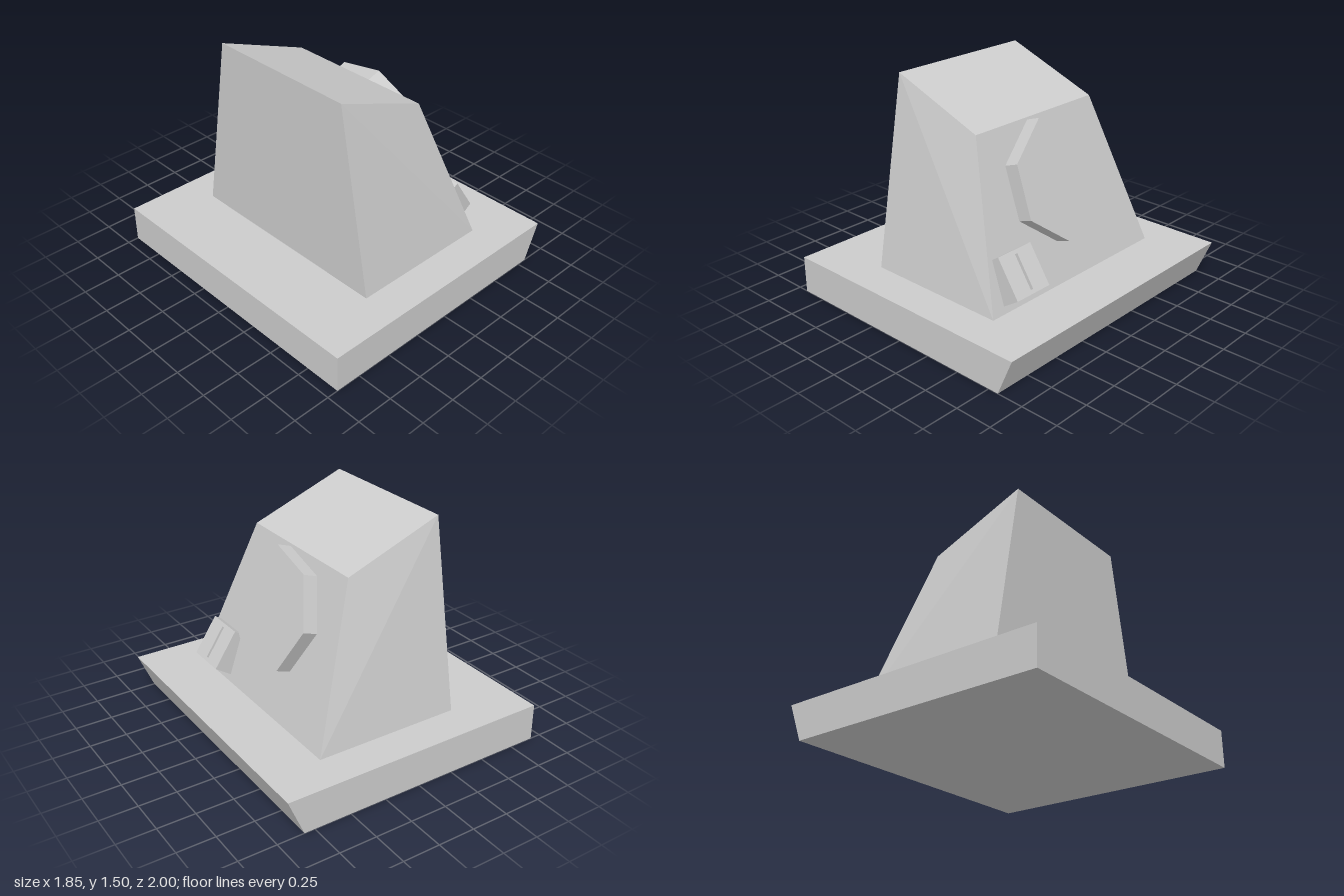
import * as THREE from 'three';
import { ConvexGeometry } from 'three/addons/geometries/ConvexGeometry.js';

const grey = new THREE.MeshStandardMaterial({ color: 0xcccccc });
grey.name = 'plain grey';

function addMesh(parent, geometry, name) {
  const mesh = new THREE.Mesh(geometry, grey);
  mesh.name = name;
  parent.add(mesh);
  return mesh;
}

// Group whose local z points out of a sloped face and local y runs up the slope
function slopedGroup(name, nx, ny, x, y, z) {
  const out = new THREE.Vector3(nx, ny, 0).normalize();
  const up = new THREE.Vector3(-out.y, out.x, 0);
  const side = new THREE.Vector3(0, 0, -1);
  const group = new THREE.Group();
  group.name = name;
  group.quaternion.setFromRotationMatrix(new THREE.Matrix4().makeBasis(side, up, out));
  group.position.set(x, y, z);
  return group;
}

function rectPath(Type, w, h, cx = 0, cy = 0) {
  return new Type([[-1, -1], [1, -1], [1, 1], [-1, 1]].map(
    ([sx, sy]) => new THREE.Vector2(cx + sx * w / 2, cy + sy * h / 2)));
}

export function createModel() {
  const model = new THREE.Group();
  model.name = 'pedestalWithDial';

  // Base slab with an undercut edge on +x
  const profile = new THREE.Shape([[-0.925, 0], [0.82, 0], [0.925, 0.25], [-0.925, 0.25]]
    .map(([x, y]) => new THREE.Vector2(x, y)));
  const base = new THREE.ExtrudeGeometry(profile, { depth: 2, bevelEnabled: false });
  addMesh(model, base.translate(0, 0, -1), 'base');

  // Tapered body with slanted top and sloped panel
  const corners = [];
  for (const s of [-1, 1]) {
    corners.push(
      new THREE.Vector3(-0.445, 0.25, 0.75 * s), new THREE.Vector3(0.55, 0.25, 0.75 * s),
      new THREE.Vector3(0.205, 1.25, 0.525 * s), new THREE.Vector3(-0.445, 1.5, 0.525 * s));
  }
  addMesh(model, new ConvexGeometry(corners), 'body');

  // Seven-sided dial on the sloped panel
  const dial = slopedGroup('dial', 1, 0.345, 0.342, 0.87, 0);
  const outline = new THREE.Shape(Array.from({ length: 7 }, (_, i) => {
    const a = i * Math.PI * 2 / 7;
    return new THREE.Vector2(0.4 * Math.cos(a), 0.4 * Math.sin(a));
  }));
  addMesh(dial, new THREE.ExtrudeGeometry(outline, { depth: 0.1, bevelEnabled: false }), 'dialDisc');
  model.add(dial);

  // Slot box: front plate with a narrow recess, backed by a solid block
  const slotBox = slopedGroup('slotBox', 0.105, 0.07, 0.566, 0.482, 0.502);
  const size = 0.28, recess = 0.03;
  const plate = rectPath(THREE.Shape, size, size);
  plate.holes.push(rectPath(THREE.Path, 0.02, 0.23));
  const front = new THREE.ExtrudeGeometry(plate, { depth: recess, bevelEnabled: false });
  addMesh(slotBox, front.translate(0, 0, -recess), 'slotPlate');
  const block = new THREE.BoxGeometry(size, size, 0.1);
  addMesh(slotBox, block.translate(0, 0, -recess - 0.05), 'slotBlock');
  model.add(slotBox);

  return model;
}
